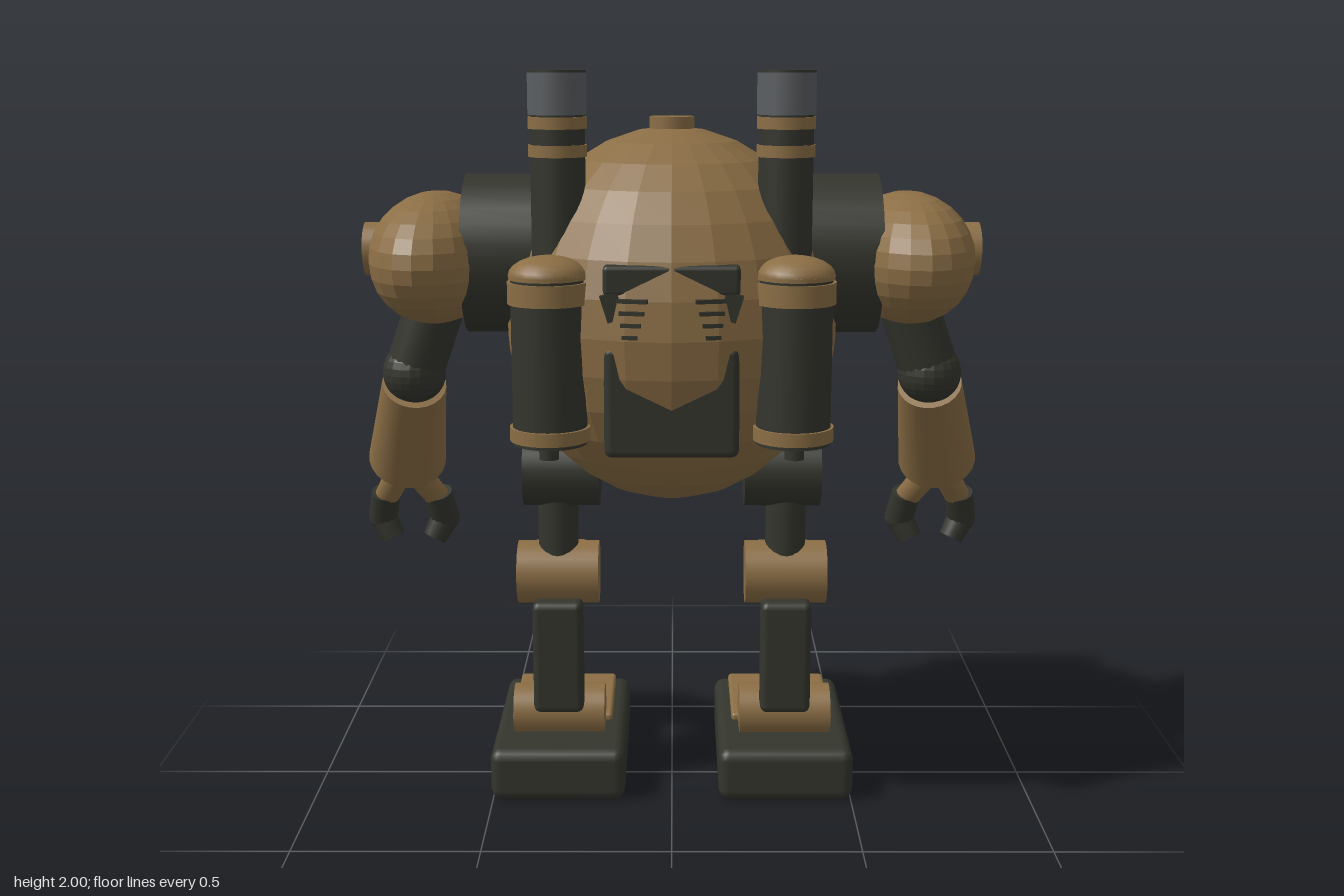
import * as THREE from 'three';
import { RoundedBoxGeometry } from 'three/addons/geometries/RoundedBoxGeometry.js';

const mat = (name, color) => {
  const m = new THREE.MeshStandardMaterial({ color });
  m.name = name;
  return m;
};
const V = (x, y, z) => new THREE.Vector3(x, y, z);

export function createModel() {
  const root = new THREE.Group();
  root.name = 'robot';
  const tan = mat('tan paint', 0x8b6e45);
  const dark = mat('dark metal', 0x34352d);
  const grey = mat('grey metal', 0x5b5e61);
  const rust = mat('rust', 0x91542f);
  const teal = mat('teal glass', 0x1f4a50);

  const add = (name, geo, m, x = 0, y = 0, z = 0, parent = root) => {
    const mesh = new THREE.Mesh(geo, m);
    mesh.name = name;
    mesh.position.set(x, y, z);
    parent.add(mesh);
    return mesh;
  };
  // faceted ellipsoid
  const ball = (name, m, p, rx, ry, rz, w, h) => {
    const g = new THREE.SphereGeometry(1, w, h).scale(rx, ry, rz).toNonIndexed();
    g.computeVertexNormals();
    return add(name, g, m, p.x, p.y, p.z);
  };
  // tapered rod between two points
  const rod = (name, m, a, b, ra, rb = ra, n = 20) => {
    const d = b.clone().sub(a);
    const mid = a.clone().add(b).multiplyScalar(0.5);
    const mesh = add(name, new THREE.CylinderGeometry(rb, ra, d.length(), n), m, mid.x, mid.y, mid.z);
    mesh.quaternion.setFromUnitVectors(V(0, 1, 0), d.normalize());
    return mesh;
  };
  const box = (name, m, x, y, z, w, h, d, r = 0.015) =>
    add(name, new RoundedBoxGeometry(w, h, d, 2, r), m, x, y, z);

  // body
  ball('body', tan, V(0, 1.347, 0), 0.452, 0.505, 0.468, 24, 16);
  rod('topHatch', tan, V(0, 1.82, 0), V(0, 1.877, 0), 0.06, 0.06, 24);

  // window with frame, tilted with the hull
  const win = new THREE.Group();
  win.name = 'window';
  win.position.set(0, 1.535, -0.415);
  win.rotation.set(-0.2, Math.PI, 0, 'YXZ');
  root.add(win);
  const frame = (w, h, iw, ih, depth) => {
    const rect = (C, a, b) => new C([[-a, -b], [a, -b], [a, b], [-a, b]].map(([x, y]) => new THREE.Vector2(x / 2, y / 2)));
    const s = rect(THREE.Shape, w, h);
    s.holes.push(rect(THREE.Path, iw, ih));
    return new THREE.ExtrudeGeometry(s, { depth, bevelEnabled: false });
  };
  add('windowFrame', frame(0.42, 0.225, 0.365, 0.17, 0.06), tan, 0, 0, -0.035, win);
  add('windowSeal', frame(0.365, 0.17, 0.345, 0.15, 0.05), dark, 0, 0, -0.03, win);
  add('glass', new THREE.BoxGeometry(0.35, 0.155, 0.008), teal, 0, 0, 0.01, win);

  // round port under the window
  rod('portHousing', dark, V(0, 1.07, -0.28), V(0, 1.07, -0.405), 0.11, 0.11, 28);
  rod('portFace', tan, V(0, 1.07, -0.405), V(0, 1.07, -0.414), 0.108, 0.108, 28);
  rod('portKnob', tan, V(0, 1.085, -0.41), V(0, 1.085, -0.456), 0.057, 0.057, 24);

  // vent panels between the tanks
  box('lowerPanel', dark, 0, 1.188, 0.385, 0.34, 0.285, 0.104, 0.02);
  box('upperPanel', dark, 0, 1.495, 0.398, 0.34, 0.075, 0.078, 0.012);

  for (const s of [-1, 1]) {
    const P = (x, y, z) => V(s * x, y, z);

    // vent slats
    const corner = add('ventCorner', new THREE.BoxGeometry(0.045, 0.07, 0.08), dark, s * 0.147, 1.43, 0.395);
    corner.rotation.z = s * -0.3;
    for (let i = 0; i < 4; i++) {
      const slat = add('ventSlat', new THREE.BoxGeometry(0.075 - i * 0.012, 0.01, 0.06), dark,
        s * (0.092 + i * 0.002), 1.447 - i * 0.03, 0.427);
      slat.rotation.set(0, s * 0.2, 0);
    }

    // exhaust stack
    const stack = (name, m, y0, y1, r) => rod(name, m, P(0.29, y0, 0.222), P(0.29, y1, 0.222), r, r, 24);
    stack('stackPipe', dark, 1.45, 1.89, 0.07);
    stack('stackRing', tan, 1.785, 1.815, 0.075);
    stack('stackRing', tan, 1.855, 1.885, 0.075);
    stack('stackTip', grey, 1.89, 1.994, 0.075);
    stack('stackMouth', dark, 1.994, 2.0, 0.075);

    // storage tank
    const tank = (name, m, y0, y1, r, r2 = r) => rod(name, m, P(0.31, y0, 0.358), P(0.31, y1, 0.358), r, r2, 28);
    tank('tankBody', dark, 1.07, 1.5, 0.095);
    tank('tankBand', tan, 1.08, 1.115, 0.103);
    tank('tankBand', tan, 1.43, 1.485, 0.103);
    const dome = new THREE.SphereGeometry(0.1, 24, 6, 0, Math.PI * 2, 0, Math.PI / 2).scale(1, 0.5, 1);
    add('tankDome', dome, tan, s * 0.31, 1.5, 0.358);
    tank('tankDomeRim', tan, 1.492, 1.502, 0.1);
    rod('tankValve', dark, P(0.31, 1.04, 0.41), P(0.31, 1.08, 0.41), 0.025);

    // rust streak on the hull
    rod('rustStreak', rust, P(0.355, 1.22, -0.245), P(0.372, 1.4, -0.262), 0.014, 0.023, 10);
    rod('rustStreak', rust, P(0.352, 1.225, -0.243), P(0.325, 1.165, -0.275), 0.016, 0.026, 10);

    // shoulder
    rod('shoulderJoint', dark, P(0.3, 1.513, 0), P(0.55, 1.513, 0), 0.213, 0.213, 28);
    const pad = ball('shoulderPad', tan, P(0.635, 1.503, 0), 0.174, 0.177, 0.308, 20, 14);
    pad.rotation.y = s * 0.08;
    rod('shoulderCap', tan, P(0.72, 1.525, 0), P(0.826, 1.525, 0), 0.072, 0.072, 24);

    // arm
    rod('upperArm', dark, P(0.63, 1.41, 0.005), P(0.708, 1.19, -0.005), 0.08);
    ball('elbow', dark, P(0.708, 1.185, -0.005), 0.087, 0.087, 0.087, 20, 14);
    rod('forearm', tan, P(0.712, 1.15, -0.02), P(0.772, 0.888, -0.228), 0.088, 0.111, 24);
    rod('wrist', dark, P(0.77, 0.9, -0.22), P(0.783, 0.835, -0.272), 0.058);

    // two-fingered claw
    for (const f of [-1, 1]) {
      const F = (dx, y, z) => P(0.78 + f * dx, y, z);
      rod('fingerBase', tan, F(0.01, 0.86, -0.255), F(0.078, 0.74, -0.338), 0.04, 0.036, 14);
      rod('fingerMiddle', dark, F(0.078, 0.755, -0.333), F(0.094, 0.67, -0.365), 0.043, 0.043, 14);
      ball('fingerJoint', dark, F(0.094, 0.67, -0.365), 0.043, 0.043, 0.043, 14, 10);
      rod('fingerTip', dark, F(0.094, 0.67, -0.365), F(0.062, 0.61, -0.353), 0.042, 0.036, 14);
    }

    // leg
    const x = s * 0.318;
    rod('hip', dark, P(0.2, 0.91, 0), P(0.41, 0.91, 0), 0.1, 0.1, 28);
    rod('thigh', dark, P(0.318, 0.6, 0.005), P(0.318, 0.9, 0.005), 0.056);
    box('thighPlate', tan, x, 0.775, -0.066, 0.1, 0.17, 0.056, 0.01);
    rod('knee', tan, P(0.205, 0.613, 0), P(0.432, 0.613, 0), 0.088, 0.088, 28);
    box('kneePlate', tan, x, 0.607, -0.075, 0.16, 0.145, 0.066);
    box('shinGuard', dark, x, 0.392, 0.073, 0.14, 0.325, 0.085, 0.02);
    rod('shinRod', rust, P(0.318, 0.18, -0.028), P(0.318, 0.6, -0.028), 0.031);
    rod('ankle', tan, P(0.192, 0.2, 0), P(0.45, 0.2, 0), 0.074, 0.074, 28);

    // foot
    box('foot', dark, x, 0.078, -0.092, 0.374, 0.148, 0.588, 0.03);
    box('footPlate', tan, x, 0.155, -0.2, 0.29, 0.03, 0.33, 0.01);
  }
  return root;
}
